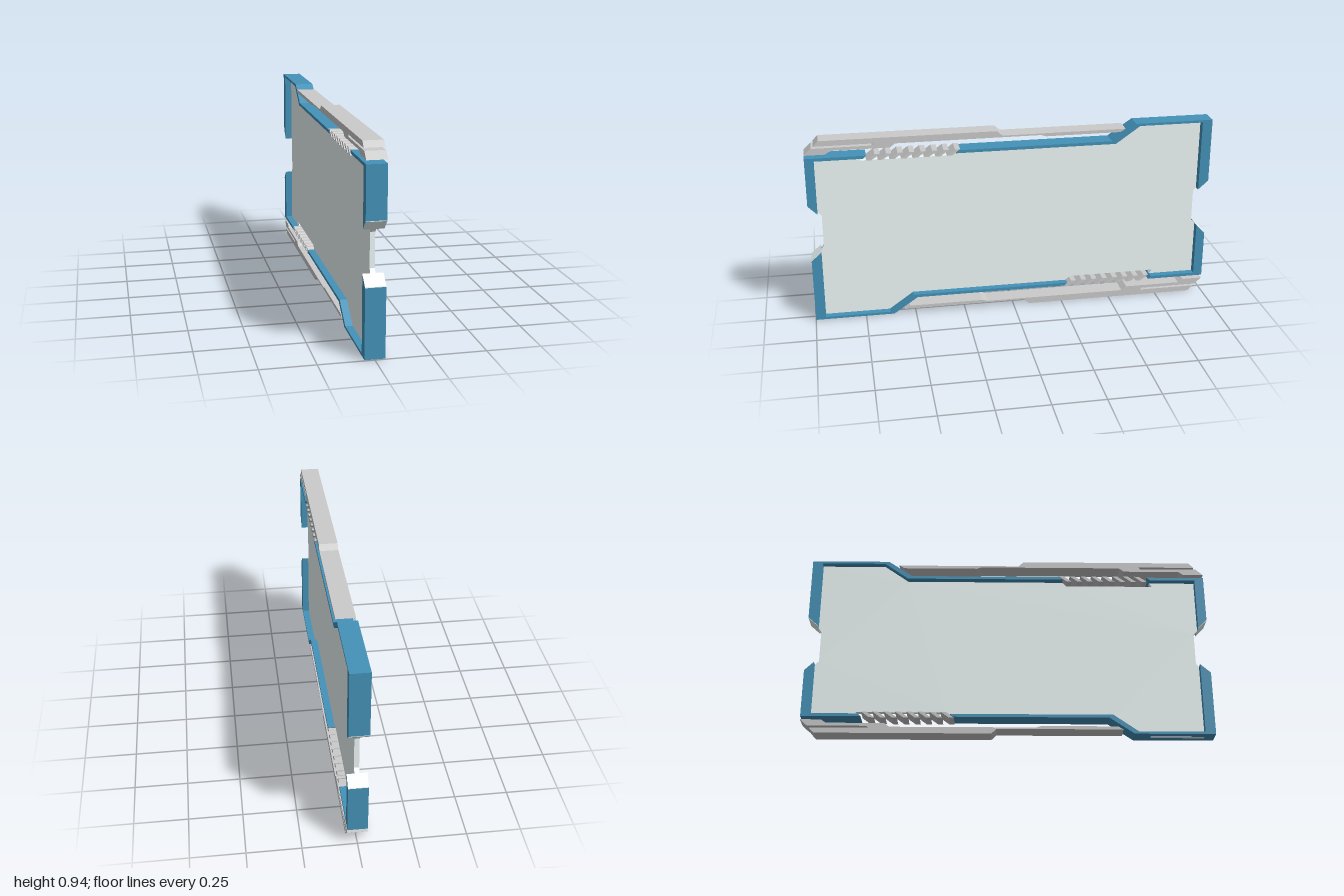
import * as THREE from 'three';

const HEIGHT = 0.94;
const grey = new THREE.MeshStandardMaterial({ color: 0xcccccc });
const blue = new THREE.MeshStandardMaterial({ color: 0x4493b9 });
const pale = new THREE.MeshStandardMaterial({ color: 0xf0fbfa });

// Plate from a side outline of [z, y] points, extruded evenly across x
function plate(name, points, width, material) {
  const shape = new THREE.Shape(points.map(([z, y]) => new THREE.Vector2(-z, y)));
  const geometry = new THREE.ExtrudeGeometry(shape, { depth: width, bevelEnabled: false });
  geometry.translate(0, 0, -width / 2).rotateY(Math.PI / 2);
  const mesh = new THREE.Mesh(geometry, material);
  mesh.name = name;
  return mesh;
}

// Upper edge assembly; the lower one is the same turned half round
function createEdge() {
  const edge = new THREE.Group();
  const W = 0.092;

  // Frame: a short corner and a long stepped rail, parted by the vent opening
  edge.add(plate('frameCorner', [
    [1, 0.615], [1, 0.855], [0.71, 0.855], [0.725, 0.84], [0.955, 0.84], [0.955, 0.57],
  ], W, blue));
  edge.add(plate('frameRail', [
    [0.265, 0.855], [-0.49, 0.855], [-0.61, 0.937], [-1, 0.937], [-1, 0.615],
    [-0.95, 0.57], [-0.95, 0.925], [-0.63, 0.925], [-0.51, 0.84], [0.28, 0.84],
  ], W, blue));

  // Pale slanted ends of the frame beside the notches
  for (const [s, inner] of [[1, 0.955], [-1, 0.95]]) {
    edge.add(plate('frameEndCap', [
      [s, 0.615], [s * inner, 0.57], [s * inner, 0.567], [s, 0.612],
    ], W, pale));
  }

  // Stepped outer guard with a long slot open at its end
  edge.add(plate('outerGuard', [
    [0.93, 0.94], [0.08, 0.94], [0.055, 0.916], [-0.557, 0.916], [-0.53, 0.9],
    [-0.16, 0.9], [-0.135, 0.908], [0.57, 0.908], [0.595, 0.889], [0.875, 0.889],
    [0.9, 0.872], [1, 0.872], [0.965, 0.904], [0.68, 0.904], [0.67, 0.914], [0.955, 0.914],
  ], W, grey));

  // Slanted vent slats
  for (let i = 0; i < 8; i++) {
    const z = 0.71 - i * 0.055;
    edge.add(plate('ventSlat', [
      [z, 0.83], [z - 0.04, 0.86], [z - 0.065, 0.86], [z - 0.025, 0.83],
    ], W, grey));
  }
  return edge;
}

export function createModel() {
  const model = new THREE.Group();
  model.name = 'framedPanel';

  // Thin panel, notched at both ends and cut out behind the vents
  const half = [
    [0.936, 0.55], [0.955, 0.57], [0.955, 0.84], [0.725, 0.84], [0.74, 0.82], [0.3, 0.82],
    [0.28, 0.84], [-0.51, 0.84], [-0.63, 0.925], [-0.95, 0.925], [-0.95, 0.57], [-0.936, 0.55],
  ];
  const turned = half.map(([z, y]) => [-z, HEIGHT - y]);
  model.add(plate('panel', [...half, ...turned], 0.023, pale));

  const upper = createEdge();
  upper.name = 'upperEdge';
  const lower = createEdge();
  lower.name = 'lowerEdge';
  lower.rotation.x = Math.PI;
  lower.position.y = HEIGHT;
  model.add(upper, lower);

  // Pale inlay under the frame foot
  const inlay = new THREE.Mesh(new THREE.BoxGeometry(0.016, 0.01, 0.26), pale);
  inlay.name = 'footInlay';
  inlay.position.set(0, 0.006, 0.82);
  model.add(inlay);

  return model;
}
